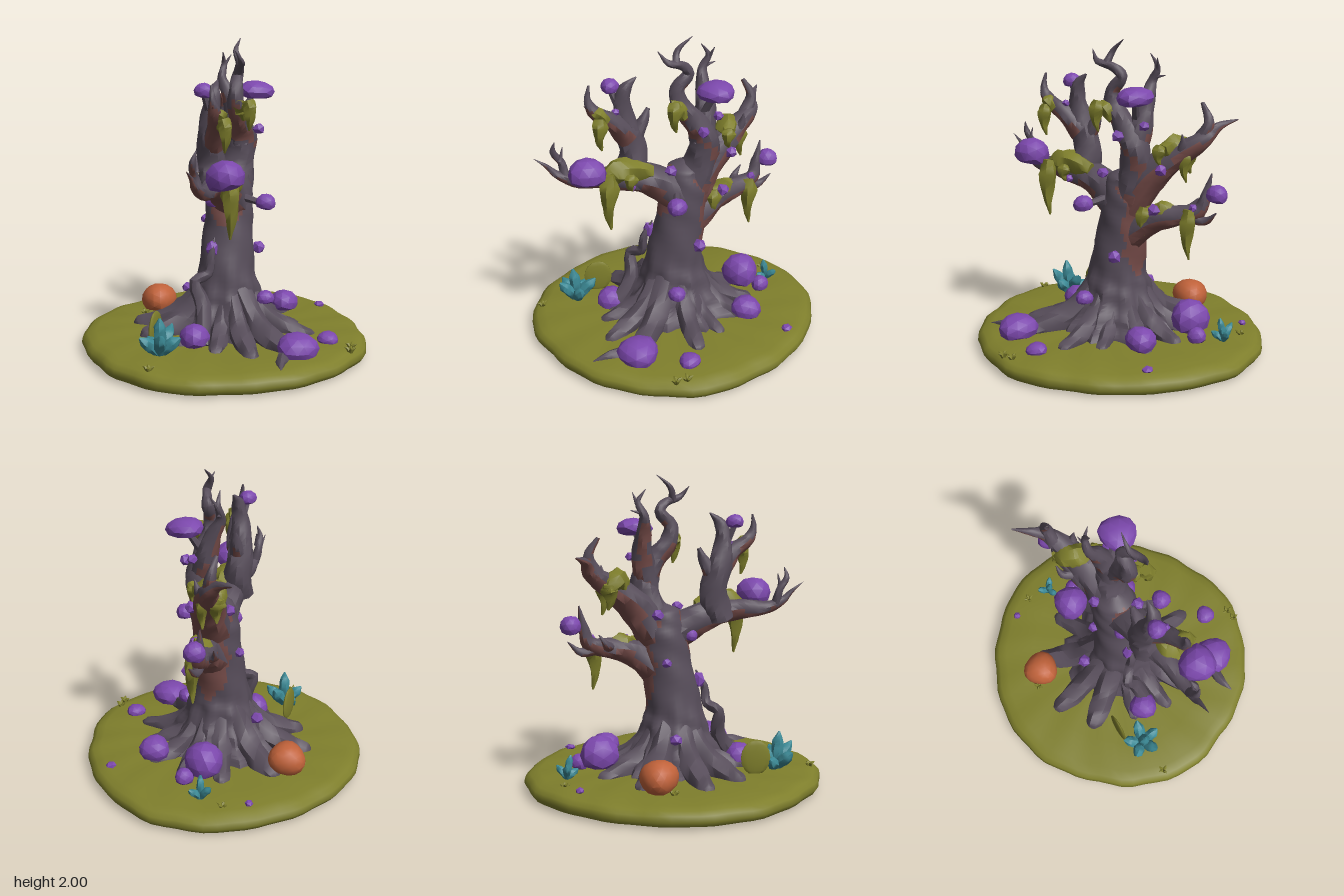
import * as THREE from 'three';
import { toCreasedNormals } from 'three/addons/utils/BufferGeometryUtils.js';

const V = (x, y, z) => new THREE.Vector3(x, y, z);

export function createModel() {
  const root = new THREE.Group();
  root.name = 'gnarledTree';
  const mat = (name, color) => {
    const m = new THREE.MeshStandardMaterial({ color });
    m.name = name;
    return m;
  };
  const bark = mat('bark', 0x574d5a), wood = mat('bareWood', 0x754b48);
  const moss = mat('moss', 0x7f7f2c), purple = mat('purpleFungus', 0x7c48ad);
  const orange = mat('orangeFungus', 0xc0623a), teal = mat('tealLeaf', 0x3c8a96);

  const add = (name, geo, material) => {
    const m = new THREE.Mesh(geo, material);
    m.name = name;
    root.add(m);
    return m;
  };

  // Tapered tube through [x, y, z, radius] points; faces picked by isSecond use the second material
  function limb(name, pts, mats, { sides = 8, steps = 3, rough = 0.07, flute = null, isSecond = null } = {}) {
    const curve = new THREE.CatmullRomCurve3(pts.map(p => V(p[0], p[1], p[2])));
    const n = (pts.length - 1) * steps, pos = [], lists = [[], []];
    const N = V(0.3, 0, 1);
    for (let i = -1; i <= n; i++) {
      const t = Math.max(i, 0) / n, f = t * (pts.length - 1);
      const k = Math.min(Math.floor(f), pts.length - 2);
      const r = i < 0 ? 0 : THREE.MathUtils.lerp(pts[k][3], pts[k + 1][3], f - k);
      const c = curve.getPoint(t), T = curve.getTangent(t);
      N.addScaledVector(T, -N.dot(T)).normalize();
      const B = T.clone().cross(N);
      for (let j = 0; j < sides; j++) {
        const a = j / sides * Math.PI * 2;
        const q = r * (1 + rough * Math.sin(3 * a + i * 1.1) + (flute ? flute(a, c.y) : 0));
        const p = c.clone().addScaledVector(N, q * Math.cos(a)).addScaledVector(B, q * Math.sin(a));
        pos.push(p.x, p.y, p.z);
      }
    }
    const at = i => V(pos[3 * i], pos[3 * i + 1], pos[3 * i + 2]);
    for (let i = 0; i <= n; i++) for (let j = 0; j < sides; j++) {
      const a = i * sides + j, b = i * sides + (j + 1) % sides, c = b + sides, d = a + sides;
      const mid = at(a).add(at(b)).add(at(c)).add(at(d)).multiplyScalar(0.25);
      const nor = at(c).sub(at(a)).cross(at(d).sub(at(b))).normalize();
      lists[isSecond && isSecond(mid, nor) ? 1 : 0].push(a, b, c, a, c, d);
    }
    const g = new THREE.BufferGeometry();
    g.setAttribute('position', new THREE.Float32BufferAttribute(pos, 3));
    g.setIndex([...lists[0], ...lists[1]]);
    if (isSecond) {
      g.addGroup(0, lists[0].length, 0);
      g.addGroup(lists[0].length, lists[1].length, 1);
    }
    return add(name, toCreasedNormals(g, 0.75), mats);
  }

  // Mossy ground disc; rim radii are listed every 22.5 degrees from +x towards +z
  const rim = [0.935, 0.92, 0.925, 0.925, 0.965, 0.955, 0.93, 0.945, 0.94, 0.925, 0.935, 0.97, 0.97, 0.925, 0.9, 0.895];
  const profile = [[0, 0], [0.93, 0], [0.98, 0.015], [1, 0.045], [0.992, 0.08], [0.96, 0.103], [0.9, 0.116], [0.7, 0.12], [0.4, 0.124], [0, 0.13]];
  const ground = new THREE.LatheGeometry(profile.map(p => new THREE.Vector2(...p)), 72);
  const gp = ground.attributes.position;
  for (let i = 0; i < gp.count; i++) {
    const x = gp.getX(i), z = gp.getZ(i), a = Math.atan2(z, x), d = Math.hypot(x, z);
    const f = (a / (2 * Math.PI) + 1) * 16, k = Math.floor(f + 1e-6);
    const s = THREE.MathUtils.smoothstep(f - k, 0, 1);
    const r = THREE.MathUtils.lerp(rim[k % 16], rim[(k + 1) % 16], s) * (1 + 0.006 * Math.sin(19 * a) * d);
    gp.setXYZ(i, x * r, gp.getY(i) * (1 + 0.06 * d * Math.sin(11 * a) * Math.sin(5 * a + 6 * d)), z * r);
  }
  add('ground', toCreasedNormals(ground, 0.9), moss);

  // Trunk, fluted at the foot, with bare patches front and back
  limb('trunk', [[0, 0.08, -0.01, 0.4], [0, 0.2, 0, 0.3], [0, 0.34, 0, 0.225], [0, 0.5, 0, 0.185], [0, 0.8, -0.045, 0.158],
    [0, 1.0, -0.07, 0.15], [0, 1.13, -0.08, 0.12], [0, 1.2, -0.09, 0]], [bark, wood], {
    sides: 40, steps: 6, rough: 0.025,
    flute: (a, y) => 0.14 * Math.max(0, 1 - (y - 0.08) / 0.5) * Math.sin(9 * a),
    isSecond: (p) => (p.z < -0.1 && p.y < 1.08 && p.y > 0.5 + 12 * p.x * p.x && Math.abs(p.x) < 0.12 + 0.015 * Math.sin(25 * p.y)) ||
      (p.z > 0.03 && p.y > 0.81 + 10 * (p.x - 0.02) ** 2 && Math.abs(p.x - 0.02) < 0.1),
  });

  // Branches, bare on their undersides
  const branches = {
    frontBranch: [[0.02, 0.97, -0.03, 0.13], [0.03, 1.08, 0.18, 0.1], [0.07, 1.13, 0.42, 0.073], [0.08, 1.13, 0.62, 0.046], [0.08, 1.18, 0.75, 0.026], [0.08, 1.24, 0.81, 0.014], [0.08, 1.3, 0.89, 0.001]],
    frontBranchTwig: [[0.08, 1.15, 0.7, 0.032], [0.06, 1.25, 0.72, 0.024], [0.07, 1.33, 0.77, 0.02], [0.09, 1.4, 0.76, 0.002]],
    frontBranchSpur: [[0.08, 1.27, 0.73, 0.018], [0.07, 1.36, 0.71, 0.002]],
    frontUpright: [[0.03, 1.08, 0.3, 0.11], [0, 1.24, 0.26, 0.09], [0, 1.42, 0.3, 0.08], [0.02, 1.58, 0.33, 0.055], [0.03, 1.69, 0.31, 0.04], [0.03, 1.76, 0.24, 0.004]],
    frontUprightFork: [[0.02, 1.38, 0.3, 0.078], [0.08, 1.5, 0.4, 0.056], [0.11, 1.59, 0.52, 0.04], [0.11, 1.66, 0.55, 0.022], [0.1, 1.75, 0.54, 0.006]],
    frontUprightTip: [[0.1, 1.57, 0.5, 0.035], [0.12, 1.63, 0.575, 0.003]],
    frontUprightSpur: [[0, 1.33, 0.27, 0.06], [-0.01, 1.45, 0.2, 0.038], [-0.02, 1.54, 0.16, 0.012]],
    crown: [[0, 0.98, -0.09, 0.14], [0.02, 1.18, -0.17, 0.105], [0.05, 1.35, -0.18, 0.092], [0.06, 1.48, -0.1, 0.07], [0.06, 1.58, -0.02, 0.058], [0.06, 1.68, -0.01, 0.045],
      [0.05, 1.77, -0.08, 0.036], [0.08, 1.83, -0.03, 0.028], [0.12, 1.86, 0.06, 0.02], [0.1, 1.93, 0.12, 0.002]],
    crownTip: [[0.1, 1.84, 0.01, 0.026], [0.06, 1.92, -0.01, 0.018], [0.06, 2, -0.1, 0.002]],
    crownFork: [[0.04, 1.3, -0.17, 0.085], [0, 1.48, -0.2, 0.072], [-0.05, 1.63, -0.2, 0.05], [-0.1, 1.74, -0.2, 0.03], [-0.1, 1.83, -0.24, 0.018], [-0.09, 1.91, -0.19, 0.002]],
    crownForkTwig: [[-0.1, 1.74, -0.2, 0.026], [-0.1, 1.81, -0.24, 0.016], [-0.06, 1.89, -0.27, 0.002]],
    crownForkSpur: [[-0.1, 1.76, -0.21, 0.018], [-0.12, 1.78, -0.29, 0.002]],
    backBranch: [[0, 0.95, -0.1, 0.13], [-0.04, 1.17, -0.25, 0.11], [-0.12, 1.31, -0.42, 0.078], [-0.2, 1.41, -0.55, 0.05], [-0.27, 1.47, -0.58, 0.03], [-0.39, 1.51, -0.65, 0.004]],
    backBranchFork: [[-0.18, 1.37, -0.5, 0.05], [-0.21, 1.5, -0.56, 0.034], [-0.22, 1.62, -0.5, 0.012]],
    backBranchSpur: [[-0.1, 1.25, -0.38, 0.045], [-0.08, 1.36, -0.46, 0.028], [-0.06, 1.44, -0.47, 0.003]],
    lowBranch: [[0, 0.76, -0.1, 0.12], [-0.03, 0.88, -0.28, 0.085], [-0.09, 0.92, -0.45, 0.062], [-0.13, 0.96, -0.56, 0.046], [-0.15, 1.06, -0.59, 0.032], [-0.17, 1.2, -0.62, 0.004]],
    lowBranchFork: [[-0.1, 0.93, -0.48, 0.042], [-0.13, 0.9, -0.6, 0.028], [-0.13, 0.97, -0.69, 0.003]],
    lowBranchSpur: [[-0.08, 0.92, -0.42, 0.04], [-0.18, 0.95, -0.45, 0.026], [-0.2, 1.02, -0.5, 0.003]],
  };
  // How far round each branch the bare wood reaches, as the highest face slope
  const bare = { backBranch: 0, lowBranch: -0.05, frontUprightFork: -0.05, frontBranch: -0.25, crown: -0.15, backBranchFork: -0.05, crownFork: -0.12 };
  for (const [name, pts] of Object.entries(branches))
    limb(name, pts, [bark, wood], { sides: 12, steps: 4, isSecond: (p, n) => n.y < (bare[name] ?? -0.35) && p.y < 1.7 });

  // Roots spreading over the ground: end x, end z, thickness
  for (const [x, z, r] of [[-0.5, -0.26, 0.09], [-0.57, 0.11, 0.08], [-0.42, 0.34, 0.085], [-0.14, 0.44, 0.06], [0.1, 0.48, 0.06], [0.33, 0.48, 0.07],
    [0.54, 0.35, 0.08], [0.55, -0.04, 0.065], [0.4, -0.22, 0.055], [0.25, -0.45, 0.065], [0.02, -0.5, 0.07], [-0.24, -0.48, 0.07]])
    limb('root', [[x * 0.2, 0.42, z * 0.2, r * 0.85], [x * 0.5, 0.21, z * 0.5, r], [x * 0.78, 0.135, z * 0.79, r * 0.95],
      [x, 0.105, z, r * 0.75], [x * 1.06, 0.09, z * 1.07, r * 0.4]], bark);
  limb('rootTip', [[0.52, 0.12, 0.4, 0.045], [0.53, 0.12, 0.52, 0.035], [0.56, 0.11, 0.63, 0.006]], bark);
  limb('climbingRoot', [[-0.01, 0.12, 0.42, 0.05], [-0.06, 0.34, 0.28, 0.05], [-0.11, 0.49, 0.28, 0.035], [-0.05, 0.53, 0.21, 0.032], [-0.03, 0.64, 0.2, 0.025], [-0.03, 0.75, 0.14, 0.004]], bark);

  // Moss pads lying on branches, and strands hanging from them
  const pads = [
    [[0.08, 1.15, 0.16, 0.04], [0.1, 1.18, 0.28, 0.074], [0.11, 1.18, 0.4, 0.074], [0.14, 1.15, 0.48, 0.03]],
    [[-0.01, 1.33, -0.36, 0.04], [-0.1, 1.34, -0.37, 0.08], [-0.17, 1.34, -0.4, 0.07], [-0.22, 1.28, -0.44, 0.02]],
    [[0.01, 0.92, -0.26, 0.04], [-0.04, 0.94, -0.34, 0.07], [-0.07, 0.95, -0.41, 0.03]],
    [[0.12, 1.52, 0.44, 0.03], [0.13, 1.57, 0.49, 0.045], [0.12, 1.59, 0.53, 0.02]],
    [[0.1, 1.5, -0.05, 0.03], [0.1, 1.57, 0.0, 0.055], [0.1, 1.59, 0.05, 0.03]],
  ];
  for (const p of pads) limb('mossPad', p, moss, { rough: 0.14 });
  const strands = [ // x, top y, z, radius, length
    [0.17, 1.19, 0.45, 0.062, 0.37], [0.16, 1.17, 0.31, 0.045, 0.1], [-0.2, 1.34, -0.43, 0.06, 0.17], [-0.12, 1.33, -0.46, 0.045, 0.2],
    [0.03, 0.96, -0.25, 0.05, 0.18], [-0.08, 0.97, -0.52, 0.055, 0.32], [0.15, 1.55, 0.49, 0.048, 0.2], [0.15, 1.62, 0.03, 0.05, 0.19], [0.0, 1.36, -0.35, 0.045, 0.12],
  ];
  for (const [x, y, z, r, h] of strands)
    limb('mossStrand', [[x, y, z, r * 0.7], [x + 0.015, y - h * 0.25, z, r], [x + 0.02, y - h * 0.65, z + 0.005, r * 0.55], [x + 0.01, y - h, z - 0.01, 0.006]],
      moss, { sides: 7, rough: 0.15 });

  // Domed fungus caps, flattened beneath: x, y, z, radius, height
  const caps = [
    [0.2, 1.22, 0.58, 0.118, 0.105], [0, 1.7, 0.4, 0.058, 0.052], [0.12, 1.66, -0.24, 0.118, 0.068], [-0.16, 1.07, -0.67, 0.068, 0.068],
    [0.28, 0.98, 0.04, 0.064, 0.058], [0.58, 0.16, 0.35, 0.13, 0.09], [-0.06, 0.17, 0.42, 0.098, 0.09], [0.7, 0.13, 0.05, 0.068, 0.048],
    [-0.13, 0.24, -0.5, 0.125, 0.125], [0.27, 0.19, -0.43, 0.1, 0.085], [-0.05, 0.17, -0.62, 0.06, 0.06],
    [0.28, 0.355, 0.04, 0.058, 0.05], [-0.28, 0.35, -0.03, 0.045, 0.04], [-0.05, 0.98, 0.1, 0.052, 0.048], [-0.04, 0.68, 0.16, 0.042, 0.062],
    [-0.17, 0.82, -0.07, 0.035, 0.035], [0.18, 0.64, -0.13, 0.045, 0.05], [0.17, 1.42, -0.15, 0.04, 0.042], [0.1, 1.15, 0.04, 0.042, 0.037],
    [0.02, 1.21, -0.37, 0.04, 0.045], [0.02, 0.95, -0.32, 0.045, 0.045], [-0.12, 1.12, -0.12, 0.042, 0.042], [0.08, 1.56, 0.38, 0.027, 0.027],
    [0.06, 1.48, -0.27, 0.035, 0.035], [-0.09, 0.98, -0.54, 0.03, 0.03], [-0.51, 0.13, -0.65, 0.027, 0.022], [0.47, 0.13, -0.65, 0.037, 0.022],
    [0.14, 1.08, 0.3, 0.03, 0.03], [-0.56, 0.2, -0.18, 0.12, 0.108, orange],
  ];
  caps.forEach(([x, y, z, r, h, m = purple], i) => {
    const g = new THREE.IcosahedronGeometry(1, m === orange ? 2 : r > 0.05 ? 1 : 0), p = g.attributes.position;
    for (let k = 0; k < p.count; k++) {
      const a = Math.atan2(p.getX(k), p.getZ(k)), w = 1 + 0.06 * Math.sin(3 * a + i);
      p.setXYZ(k, p.getX(k) * w, Math.max(p.getY(k), -0.65), p.getZ(k) * w);
    }
    g.scale(r, h, r);
    const c = add(m === orange ? 'orangeCap' : 'purpleCap', toCreasedNormals(g, 0.5), m);
    c.position.set(x, y, z);
    c.rotation.set(0.2 * Math.sin(i * 2), i, 0.2 * Math.cos(i * 3));
  });
  // Stalks joining the raised caps to their branches
  for (const [a, b] of [[[0.02, 1.52, 0.33], [0, 1.68, 0.4]], [[0.03, 1.5, -0.18], [0.11, 1.65, -0.24]], [[0.1, 1.0, 0], [0.27, 0.97, 0.04]],
    [[0.08, 1.13, 0.55], [0.18, 1.2, 0.58]]])
    limb('stalk', [[...a, 0.03], [...b, 0.018]], bark, { sides: 6 });

  // Teal leaf clumps: centre x, z, size, leaf count
  for (const [cx, cz, s, n] of [[-0.2, 0.64, 1, 6], [-0.21, -0.71, 0.6, 4]])
    for (let i = 0; i < n; i++) {
      const a = i * 2 * Math.PI / (n - 1) + 0.4, d = i === 0 ? 0.02 : s * 0.1, h = s * (i === 0 ? 0.24 : 0.08 + 0.04 * (i % 3));
      const dx = Math.sin(a), dz = Math.cos(a);
      limb('tealLeaf', [[cx, 0.11, cz, 0.022 * s], [cx + dx * d * 0.5, 0.12 + h * 0.45, cz + dz * d * 0.5, 0.04 * s],
        [cx + dx * d * 0.95, 0.12 + h * 0.75, cz + dz * d * 0.95, 0.036 * s], [cx + dx * d * 1.3, 0.12 + h, cz + dz * d * 1.3, 0.005]], teal, { sides: 7 });
    }

  // Upright flat moss frond, and tufts on the ground
  const frond = add('mossFrond', new THREE.SphereGeometry(1, 10, 8), moss);
  frond.scale.set(0.016, 0.115, 0.1);
  frond.position.set(-0.3, 0.22, 0.48);
  for (const [x, z] of [[0.86, 0.1], [0.87, 0.17], [-0.37, -0.73], [-0.63, -0.1], [-0.17, 0.88]])
    for (let i = 0; i < 4; i++) {
      const a = i * 1.7 + x * 9, dx = 0.035 * Math.sin(a), dz = 0.035 * Math.cos(a);
      limb('mossTuft', [[x, 0.1, z, 0.014], [x + dx * 0.6, 0.13, z + dz * 0.6, 0.01], [x + dx, 0.135, z + dz, 0.002]], moss, { sides: 5, steps: 1 });
    }
  return root;
}
